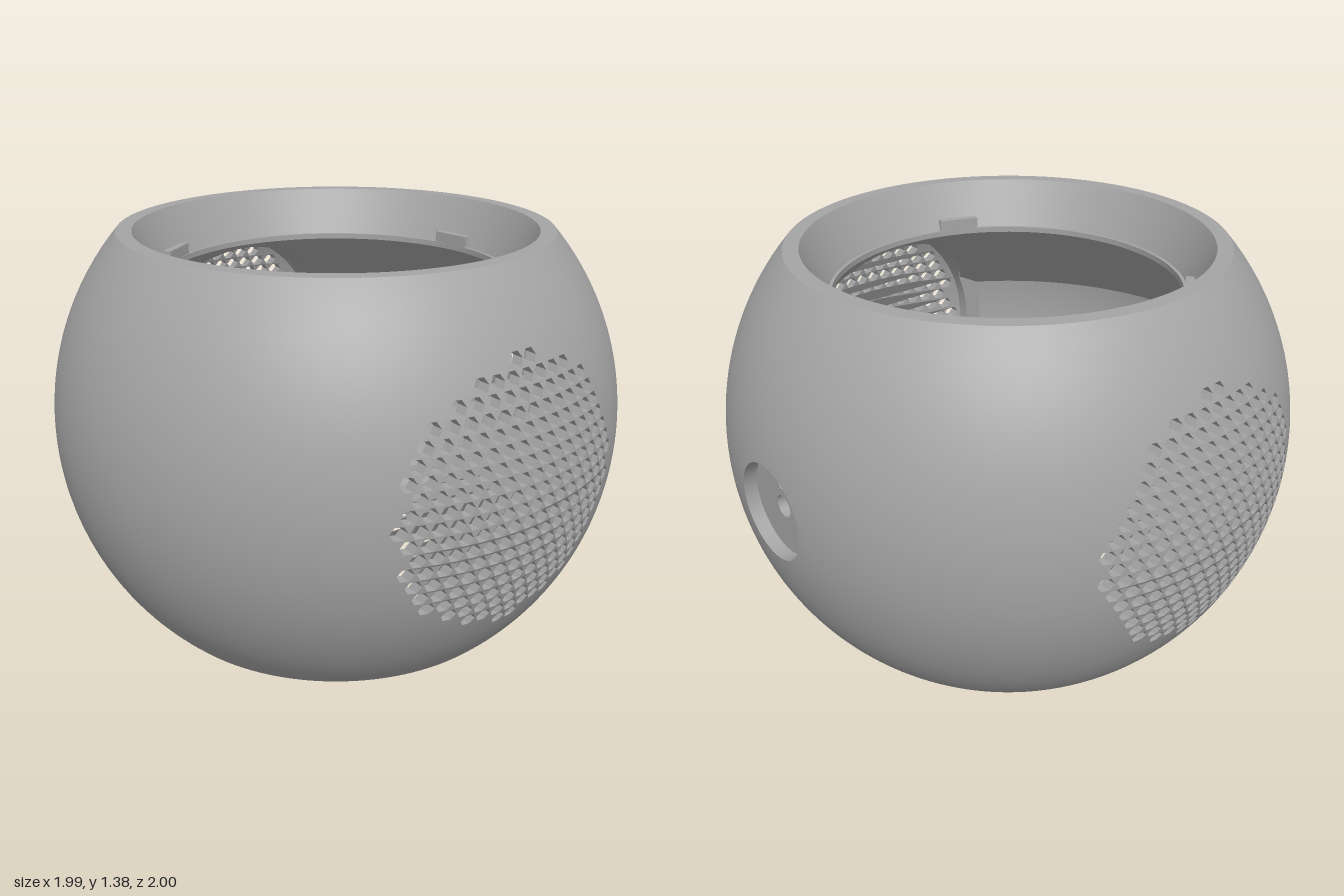
import * as THREE from 'three';

const C = 0.708;            // height of the sphere centre
const R = 1, RI = 0.965;    // outer and inner shell radii
const TOP = 1.375;
const BORE = 0.463, FACE = 0.8;  // grille bore radius, flat mounting face depth
const LIP = 0.6, CONE = 1.8;     // lip radius; ceiling cone radius = CONE - y

const body = new THREE.MeshStandardMaterial({ color: 0xa4a4a4, side: THREE.DoubleSide });
body.name = 'grey plastic';

function add(group, name, geometry, y = 0, turn = 0) {
  const mesh = new THREE.Mesh(geometry, body);
  mesh.name = name;
  mesh.position.y = y;
  mesh.rotation.y = turn;
  group.add(mesh);
  return mesh;
}

// Grid surface from a point rule p(i, j)
function surface(nu, nv, p, flip = false) {
  const pos = [], idx = [];
  for (let i = 0; i <= nu; i++) for (let j = 0; j <= nv; j++) pos.push(...p(i, j));
  for (let i = 0; i < nu; i++) for (let j = 0; j < nv; j++) {
    const a = i * (nv + 1) + j, b = a + 1, c = b + nv + 1, d = a + nv + 1;
    if (flip) idx.push(a, c, b, a, d, c);
    else idx.push(a, b, c, a, c, d);
  }
  const g = new THREE.BufferGeometry();
  g.setAttribute('position', new THREE.Float32BufferAttribute(pos, 3));
  g.setIndex(idx);
  g.computeVertexNormals();
  return g;
}

// Quarter of a sphere band with a round hole in its middle
function spherePatch(r, hole, yLow, yHigh, inward) {
  const m = 32, rings = 16, q = Math.PI / 4;
  const lo = Math.asin(yLow / r), hi = Math.asin(yHigh / r);
  const g = surface(4 * m, rings, (i, j) => {
    const side = Math.floor(i / m) % 4, s = (i % m) / m;
    const [bx, by] = [[1, s], [1 - s, 1], [0, 1 - s], [s, 0]][side];
    const theta = -q + 2 * q * bx, lat = lo + (hi - lo) * by;
    const a = Math.atan2(lat, theta);
    const t0 = Math.atan2(hole * Math.cos(a), Math.sqrt(r * r - hole * hole));
    const l0 = Math.asin(hole * Math.sin(a) / r);
    const t = t0 + (theta - t0) * j / rings, l = l0 + (lat - l0) * j / rings;
    return [r * Math.cos(l) * Math.sin(t), r * Math.sin(l), r * Math.cos(l) * Math.cos(t)];
  }, inward);
  const p = g.attributes.position, n = g.attributes.normal, k = (inward ? -1 : 1) / r;
  for (let i = 0; i < p.count; i++) n.setXYZ(i, p.getX(i) * k, p.getY(i) * k, p.getZ(i) * k);
  return g;
}

function disc(r) {
  return new THREE.Shape().absarc(0, 0, r, 0, Math.PI * 2, false);
}
function round(x, y, r) {
  return new THREE.Path().absarc(x, y, r, 0, Math.PI * 2, true);
}

// Curved grille pierced by a honeycomb of hexagons
function grilleGeometry(dir) {
  const shape = disc(BORE + 0.002), d = 0.0552, rowStep = d * Math.sqrt(3) / 2, hex = 0.0248;
  for (let row = -9; row <= 9; row++) for (let k = -9; k <= 9; k++) {
    const x = d / 4 + k * d + (row % 2 ? d / 2 : 0), y = row * rowStep;
    if (Math.hypot(x, y) > 0.4338) continue;
    const pts = [];
    for (let i = 0; i < 6; i++) {
      const a = -i * Math.PI / 3;
      pts.push(new THREE.Vector2(dir * x + hex * Math.cos(a), y + hex * Math.sin(a)));
    }
    shape.holes.push(new THREE.Path(pts));
  }
  const g = new THREE.ExtrudeGeometry(shape, { depth: 1, bevelEnabled: false, curveSegments: 128 });
  const p = g.attributes.position, outer = [];
  for (let i = 0; i < p.count; i++) {
    outer[i] = p.getZ(i) > 0.5;
    const r = outer[i] ? R : RI, x = p.getX(i), y = p.getY(i);
    p.setZ(i, Math.sqrt(r * r - x * x - y * y));
  }
  g.computeVertexNormals();
  const lids = g.groups[0], n = g.attributes.normal;
  for (let i = lids.start; i < lids.start + lids.count; i++) {
    const k = outer[i] ? 1 / R : -1 / RI;
    n.setXYZ(i, p.getX(i) * k, p.getY(i) * k, p.getZ(i) * k);
  }
  return g;
}

// Wall of the bore behind a grille, cut to the face and the sloping ceiling
function boreGeometry() {
  return surface(96, 1, (i, j) => {
    const a = i / 96 * Math.PI * 2, x = BORE * Math.cos(a), y = BORE * Math.sin(a);
    const cone = CONE - (y + C);
    const z = j ? Math.sqrt(RI * RI - BORE * BORE)
      : Math.min(FACE, Math.sqrt(Math.max(0, cone * cone - x * x)));
    return [x, y, z];
  });
}

// Sloping ceiling under the lip, stopping where it meets either bore
function ceilingGeometry() {
  const n = 288, steps = 8, yTop = CONE - LIP - 0.01;
  return surface(n, steps, (i, j) => {
    const a = i / n * Math.PI * 2, s = Math.sin(a), c = Math.cos(a);
    let low = 0.845;
    for (let y = yTop; y > 0.845; y -= 0.001) {
      if (Math.hypot((CONE - y) * s, y - C) < BORE) { low = y; break; }
    }
    const y = yTop + (low - yTop) * j / steps, r = CONE - y;
    return [r * s, y, r * c];
  });
}

export function createModel() {
  const model = new THREE.Group();
  model.name = 'sphericalEnclosure';

  // Outer and inner shells, in quarters around the front, left, back and right
  const quarters = [['front', BORE, 0.54], ['left', 0.165, 0.19], ['back', BORE, 0.54], ['right', 0, 0]];
  quarters.forEach(([name, outerHole, innerHole], i) => {
    const turn = i * Math.PI / 2;
    add(model, name + 'OuterShell', spherePatch(R, outerHole, -C, TOP - C, false), C, turn);
    add(model, name + 'InnerShell', spherePatch(RI, innerHole, -0.658, 0.6, true), C, turn);
  });

  // Front and back grilles with their mounting faces
  for (const dir of [1, -1]) {
    const name = dir > 0 ? 'front' : 'back', turn = dir > 0 ? 0 : Math.PI;
    add(model, name + 'Grille', grilleGeometry(dir), C, turn);
    add(model, name + 'GrilleBore', boreGeometry(), C, turn);
    const face = new THREE.RingGeometry(BORE, 0.541, 96);
    face.rotateY(Math.PI).translate(0, 0, FACE);
    add(model, name + 'MountingFace', face, C, turn);
  }

  // Rim, recessed seat and lip, one lathe per edge to keep them sharp
  const rim = [[Math.sqrt(1 - (TOP - C) ** 2), TOP], [0.692, TOP], [0.612, 1.21], [LIP, 1.21], [LIP, 1.19]];
  for (let i = 0; i < rim.length - 1; i++) {
    const pts = [rim[i], rim[i + 1]].map(([x, y]) => new THREE.Vector2(x, y));
    add(model, 'topRim', new THREE.LatheGeometry(pts, 128));
  }
  add(model, 'ceiling', ceilingGeometry());

  // Three locating tabs on the seat
  for (let i = 0; i < 3; i++) {
    const a = (-7 + i * 120) * Math.PI / 180;
    const tab = add(model, 'locatingTab', new THREE.BoxGeometry(0.04, 0.055, 0.15), 1.222, -a);
    tab.position.x = 0.62 * Math.cos(a);
    tab.position.z = 0.62 * Math.sin(a);
  }

  // Base ring with screw holes and bosses
  const base = disc(0.706);
  base.holes.push(round(0, 0, 0.55));
  for (const x of [-0.435, 0.435]) for (const z of [-0.435, 0.435]) {
    base.holes.push(round(x, z, 0.012));
    const boss = add(model, 'screwBoss', new THREE.CylinderGeometry(0.042, 0.042, 0.05, 24), 0.08);
    boss.position.x = x;
    boss.position.z = z;
  }
  const baseGeometry = new THREE.ExtrudeGeometry(base, { depth: 0.055, bevelEnabled: false, curveSegments: 128 });
  add(model, 'baseRing', baseGeometry.rotateX(-Math.PI / 2));

  // Recessed side port with two holes
  const port = disc(0.2);
  port.holes.push(round(0, 0, 0.038), round(0, 0.08, 0.016));
  const plate = new THREE.ExtrudeGeometry(port, { depth: 0.04, bevelEnabled: false, curveSegments: 64 });
  add(model, 'portPlate', plate.translate(0, 0, 0.9), C, Math.PI / 2);
  const wall = new THREE.CylinderGeometry(0.165, 0.165, 0.047, 64, 1, true);
  add(model, 'portWall', wall.rotateX(Math.PI / 2).translate(0, 0, 0.963), C, Math.PI / 2);

  return model;
}
